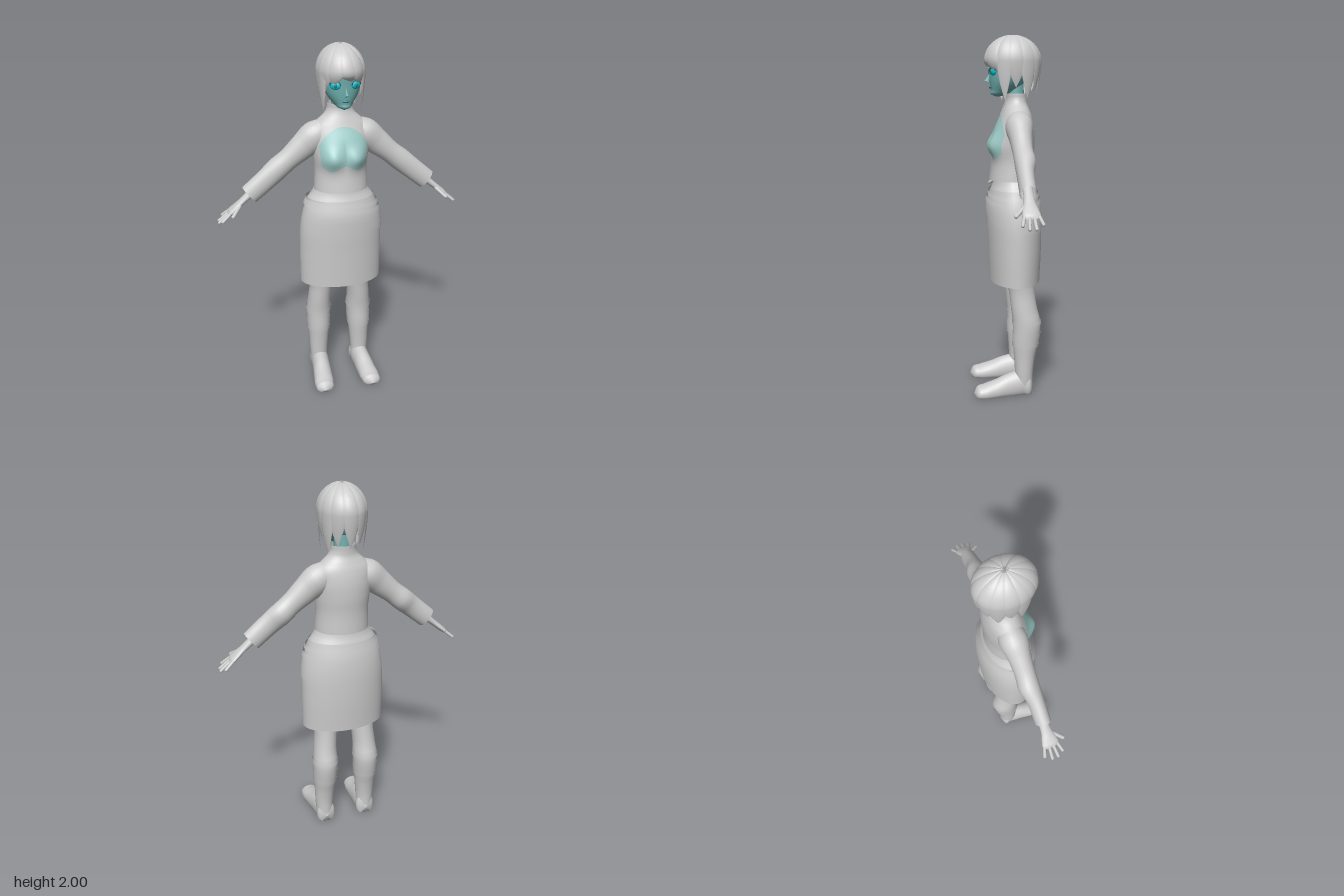
import * as THREE from 'three';
import { ParametricGeometry } from 'three/addons/geometries/ParametricGeometry.js';

const grey = new THREE.MeshStandardMaterial({ color: 0xcccccc, side: THREE.DoubleSide });
const tint = (color) => new THREE.MeshStandardMaterial({ color, side: THREE.DoubleSide });
const skin = tint(0x6fb0ae), eyeBlue = tint(0x00c4d0), lipTeal = tint(0x2f7f80), patchTeal = tint(0x9fcdc9), dark = tint(0x2c4a4c);

// A profile is a list of elliptical rings [height, centre x, centre z, radius x, radius z].
function profile(rings) {
  const spline = new THREE.CubicInterpolant(rings.map((r) => r[0]), rings.flatMap((r) => r.slice(1)), 4);
  return { low: rings[0][0], high: rings[rings.length - 1][0], spline };
}

// Skin over a profile between two heights (numbers or functions of the angle, 0 = front).
function wrap(p, { y0 = p.low, y1 = p.high, off = 0, a0 = 0, a1 = Math.PI * 2, nu = 32, nv = 16, shape } = {}) {
  const val = (y, a) => (typeof y === 'function' ? y(a) : y);
  return new ParametricGeometry((u, v, target) => {
    const a = a0 + (a1 - a0) * u;
    const y = THREE.MathUtils.lerp(val(y0, a), val(y1, a), v);
    const [cx, cz, rx, rz] = p.spline.evaluate(THREE.MathUtils.clamp(y, p.low, p.high));
    target.set(cx + Math.sin(a) * (Math.max(rx, 0) + off), y, cz + Math.cos(a) * (Math.max(rz, 0) + off));
    if (shape) shape(target, a);
  }, nu, nv);
}

function mirrored(geometry) {
  const g = geometry.clone().scale(-1, 1, 1);
  g.index.array.reverse();
  return g;
}

export function createModel() {
  const model = new THREE.Group();
  model.name = 'figure';
  const add = (name, geometry, material = grey) => {
    const mesh = new THREE.Mesh(geometry, material);
    mesh.name = name;
    model.add(mesh);
  };
  const pair = (name, geometry, material) => {
    add(name + 'Left', geometry, material);
    add(name + 'Right', mirrored(geometry), material);
  };

  // Head, neck and face
  add('head', wrap(profile([
    [1.672, 0, 0.05, 0.004, 0.004], [1.68, 0, 0.04, 0.026, 0.04], [1.71, 0, 0.013, 0.058, 0.072],
    [1.75, 0, -0.005, 0.085, 0.095], [1.8, 0, -0.015, 0.1, 0.108], [1.87, 0, -0.025, 0.105, 0.12],
    [1.94, 0, -0.03, 0.08, 0.1], [1.975, 0, -0.03, 0, 0],
  ]), { nv: 24 }), skin);
  add('neck', new THREE.CylinderGeometry(0.045, 0.05, 0.16, 20).translate(0, 1.67, -0.05), skin);
  add('nose', new THREE.ConeGeometry(0.014, 0.05, 8).scale(0.8, 1, 1.2).rotateX(-0.35).translate(0, 1.775, 0.096), skin);
  add('lips', new THREE.SphereGeometry(0.02, 12, 8).scale(1, 0.3, 0.4).translate(0, 1.722, 0.086), lipTeal);
  pair('eye', new THREE.SphereGeometry(0.028, 16, 12).scale(1, 0.75, 0.4).rotateY(0.45).translate(0.054, 1.805, 0.078), eyeBlue);
  pair('pupil', new THREE.SphereGeometry(0.009, 10, 8).scale(1, 1.3, 0.5).translate(0.054, 1.805, 0.089), lipTeal);
  pair('eyelid', new THREE.TorusGeometry(0.028, 0.003, 6, 14, Math.PI).scale(1, 0.75, 1).rotateY(0.45).translate(0.055, 1.806, 0.082), dark);

  // Hair: a scalp cap under overlapping pointed locks that run from the crown down
  add('scalp', new THREE.SphereGeometry(0.12, 24, 12, 0, Math.PI * 2, 0, Math.PI / 2).scale(0.97, 1.12, 1.22).translate(0, 1.85, -0.035));
  const lock = (az, width, tipY, sweep = 0) => new ParametricGeometry((u, v, target) => {
    const t = 1 - v, knee = 0.55;
    const phi = Math.min(t / knee, 1) * Math.PI / 2;
    const s = Math.max(0, (t - knee) / (1 - knee));
    const ring = u * Math.PI * 2;
    const a = az + sweep * t * t + width * (1 - s ** 1.7) * Math.sin(ring);
    const r = Math.sin(phi) * (1 - 0.13 * s * s) * (1 + 0.06 * (1 - s) * Math.cos(ring));
    const y = s > 0 ? THREE.MathUtils.lerp(1.86, tipY, s) : 1.86 + 0.134 * Math.cos(phi) + 0.006 * Math.cos(ring) * Math.cos(phi);
    target.set(Math.sin(a) * r * 0.122, y, -0.035 + Math.cos(a) * r * 0.149);
  }, 14, 18);
  [ // azimuth, half width, tip height, sideways sweep
    [-0.45, 0.4, 1.8, -0.25], [0.0, 0.42, 1.825, 0.25], [0.45, 0.4, 1.8, 0.4], [-0.95, 0.34, 1.77, -0.1],
    [1.15, 0.3, 1.65, 0], [-1.2, 0.3, 1.65, 0], [1.6, 0.34, 1.72, 0], [-1.65, 0.34, 1.7, 0],
    [2.05, 0.34, 1.66, 0.05], [-2.1, 0.34, 1.66, -0.05], [2.55, 0.36, 1.7, 0], [-2.6, 0.36, 1.7, 0], [Math.PI, 0.38, 1.69, 0],
  ].forEach((l, i) => add('hairLock' + (i + 1), lock(...l)));

  // Jacket with bust, collar, front flaps and tinted chest
  const bust = (p, a) => {
    const d = ((Math.abs(p.x) - 0.07) / 0.06) ** 2 + ((p.y - 1.41) / 0.06) ** 2;
    if (Math.cos(a) > 0) p.z += 0.035 * Math.exp(-d);
  };
  const jacket = profile([
    [1.22, 0, -0.03, 0.15, 0.122], [1.33, 0, -0.036, 0.145, 0.114], [1.42, 0, -0.041, 0.153, 0.114],
    [1.5, 0, -0.046, 0.16, 0.106], [1.57, 0, -0.053, 0.15, 0.085], [1.605, 0, -0.053, 0.115, 0.072],
    [1.635, 0, -0.053, 0.082, 0.061], [1.66, 0, -0.055, 0.07, 0.057], [1.69, 0, -0.055, 0.069, 0.058],
  ]);
  add('jacket', wrap(jacket, { nu: 48, nv: 32, shape: bust }));
  add('chestPanel', wrap(jacket, {
    y0: (a) => 1.355 + 0.03 * Math.cos(a * 6) * 0.5, y1: (a) => 1.575 - 0.11 * a * a,
    off: 0.003, a0: -0.95, a1: 0.95, nu: 30, nv: 16, shape: bust,
  }), patchTeal);
  add('frontPlacket', wrap(jacket, { y0: 1.222, y1: 1.36, off: 0.004, a0: -0.13, a1: 0.13, nu: 4, shape: bust }));
  add('collarPlacket', wrap(jacket, { y0: 1.575, y1: 1.69, off: 0.004, a0: -0.12, a1: 0.12, nu: 4 }));

  // Sleeves and hands, shaped upright and then swung out from the shoulder
  const swing = (g) => g.rotateZ(THREE.MathUtils.degToRad(-129.4)).translate(0.13, 1.52, 0);
  pair('sleeve', swing(wrap(profile([
    [-0.07, 0, -0.052, 0.05, 0.05], [0, 0, -0.052, 0.08, 0.073], [0.1, 0, -0.05, 0.072, 0.06], [0.2, 0, -0.05, 0.06, 0.053],
    [0.28, 0, -0.053, 0.063, 0.055], [0.35, 0, -0.045, 0.06, 0.045], [0.485, 0, -0.043, 0.057, 0.042],
  ]), { nu: 24, nv: 20 })));
  pair('hand', swing(wrap(profile([
    [0.4, 0, -0.043, 0.026, 0.028], [0.5, 0, -0.043, 0.02, 0.026], [0.55, 0, -0.042, 0.017, 0.03],
    [0.6, 0, -0.042, 0.016, 0.042], [0.635, 0, -0.043, 0.012, 0.042], [0.648, 0, -0.043, 0, 0.02],
  ]), { nu: 18 })));
  const finger = (from, to, r) => {
    const a = new THREE.Vector3(...from), d = new THREE.Vector3(...to).sub(a);
    const q = new THREE.Quaternion().setFromUnitVectors(new THREE.Vector3(0, 1, 0), d.clone().normalize());
    const mid = a.addScaledVector(d, 0.5);
    return swing(new THREE.CapsuleGeometry(r, d.length() - r, 4, 8).applyQuaternion(q).translate(mid.x, mid.y, mid.z));
  };
  [[-0.073, -0.094, 0.685], [-0.053, -0.057, 0.712], [-0.033, -0.024, 0.712], [-0.013, 0.008, 0.69]]
    .forEach(([z0, z1, y], i) => pair('finger' + (i + 1), finger([0, 0.61, z0], [0, y, z1], 0.009)));
  pair('thumb', finger([0.004, 0.555, -0.025], [0.008, 0.625, 0.034], 0.011));

  // Waist, skirt, slanted sash and double belt
  add('waist', wrap(profile([[1.12, 0, -0.037, 0.205, 0.138], [1.16, 0, -0.037, 0.188, 0.126], [1.2, 0, -0.037, 0.16, 0.112], [1.27, 0, -0.037, 0.13, 0.1]])));
  const skirt = profile([
    [0.65, 0, -0.045, 0.235, 0.141], [0.85, 0, -0.045, 0.236, 0.149], [1, 0, -0.041, 0.23, 0.151],
    [1.09, 0, -0.037, 0.213, 0.145], [1.17, 0, -0.037, 0.187, 0.126],
  ]);
  add('skirt', wrap(skirt, { nu: 40 }));
  const slant = (y, tilt, back = 0) => (a) => y - tilt * Math.sin(a) - back * Math.max(0, -Math.cos(a));
  add('sash', wrap(skirt, { y0: slant(1.045, 0.085, 0.06), y1: slant(1.125, 0.025), off: 0.006, nu: 40, nv: 8 }));
  add('lowerBelt', wrap(skirt, { y0: slant(1.105, 0.03), y1: slant(1.13, 0.03), off: 0.011, nu: 40, nv: 3 }));
  add('upperBelt', wrap(skirt, { y0: slant(1.138, 0.02), y1: slant(1.158, 0.02), off: 0.009, nu: 40, nv: 3 }));

  // Legs, stocking folds, boots and feet
  const leg = profile([
    [0.05, 0.127, -0.085, 0.048, 0.05], [0.14, 0.128, -0.085, 0.053, 0.052], [0.22, 0.126, -0.088, 0.058, 0.06],
    [0.3, 0.125, -0.094, 0.065, 0.072], [0.42, 0.123, -0.1, 0.071, 0.079], [0.5, 0.12, -0.086, 0.066, 0.074],
    [0.6, 0.112, -0.073, 0.065, 0.072], [0.8, 0.11, -0.05, 0.08, 0.08], [1, 0.1, -0.045, 0.085, 0.085],
  ]);
  pair('leg', wrap(leg, { nu: 24, nv: 30 }));
  pair('bootCuff', wrap(leg, { y0: 0.285, y1: 0.3, off: 0.005, nu: 24, nv: 2 }));
  pair('stockingFold', wrap(leg, { y0: 0.3, y1: 0.365, off: 0.003, nu: 24, nv: 4 }));
  pair('kneeBand', wrap(leg, { y0: 0.415, y1: 0.435, off: 0.004, nu: 24, nv: 2 }));
  const foot = wrap(profile([
    [-0.137, 0.125, -0.045, 0.004, 0.004], [-0.13, 0.125, -0.045, 0.034, 0.05], [-0.08, 0.125, -0.055, 0.05, 0.075],
    [0, 0.13, -0.045, 0.053, 0.075], [0.08, 0.137, -0.03, 0.056, 0.058], [0.15, 0.143, -0.022, 0.055, 0.043],
    [0.19, 0.145, -0.02, 0.036, 0.028], [0.202, 0.146, -0.018, 0, 0],
  ]), { nu: 24, nv: 28 }).rotateX(Math.PI / 2);
  const pos = foot.attributes.position;
  for (let i = 0; i < pos.count; i++) pos.setY(i, Math.max(0, pos.getY(i))); // flat sole
  foot.computeVertexNormals();
  pair('foot', foot);

  return model;
}
